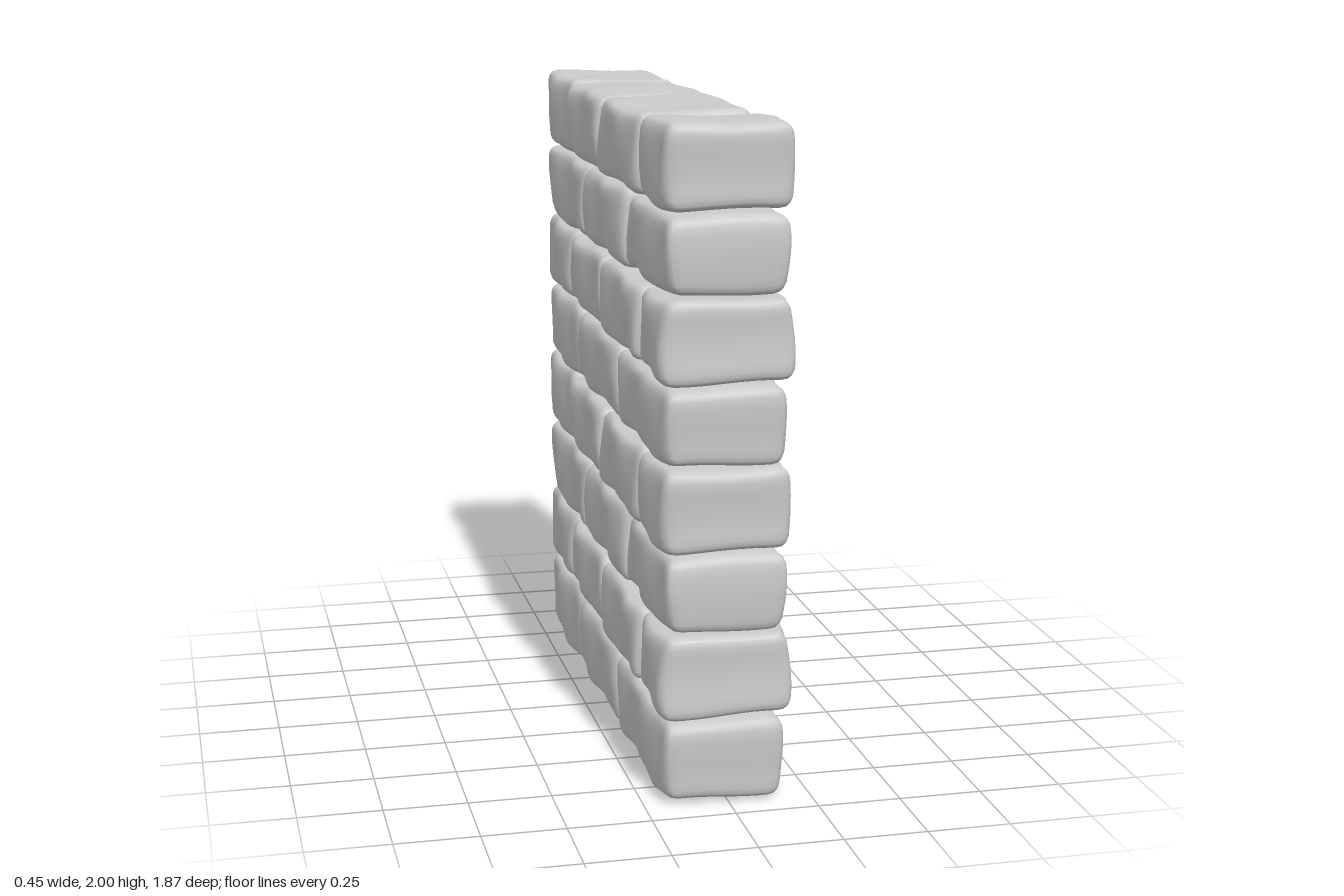
import * as THREE from 'three';
import { mergeVertices } from 'three/addons/utils/BufferGeometryUtils.js';

// Courses from bottom to top: [yMin, yMax, bricks], each brick [zMax, zMin, xMin, xMax]
const COURSES = [
  [0.005, 0.262, [[0.93, 0.25, -0.2, 0.17], [0.24, -0.38, -0.2, 0.175], [-0.385, -0.91, -0.2, 0.18]]],
  [0.265, 0.512, [[0.925, 0.592, -0.205, 0.188], [0.585, 0.05, -0.21, 0.17], [0.04, -0.497, -0.205, 0.17], [-0.502, -0.925, -0.2, 0.175]]],
  [0.512, 0.76, [[0.92, 0.34, -0.19, 0.175], [0.335, -0.25, -0.2, 0.195], [-0.255, -0.91, -0.2, 0.185]]],
  [0.762, 1.01, [[0.925, 0.592, -0.205, 0.188], [0.585, 0.035, -0.21, 0.17], [0.028, -0.5, -0.205, 0.17], [-0.505, -0.925, -0.2, 0.175]]],
  [1.012, 1.255, [[0.93, 0.27, -0.2, 0.17], [0.26, -0.377, -0.2, 0.175], [-0.387, -0.91, -0.2, 0.18]]],
  [1.258, 1.5, [[0.925, 0.592, -0.205, 0.188], [0.585, 0.05, -0.21, 0.17], [0.043, -0.49, -0.205, 0.17], [-0.497, -0.925, -0.2, 0.175]]],
  [1.503, 1.747, [[0.92, 0.338, -0.19, 0.175], [0.333, -0.243, -0.2, 0.21], [-0.252, -0.915, -0.2, 0.19]]],
  [1.752, 2.0, [[0.925, 0.592, -0.2, 0.188], [0.583, 0.035, -0.212, 0.165], [0.03, -0.492, -0.207, 0.17], [-0.497, -0.915, -0.2, 0.175]]],
];

// Gathers grid lines towards the brick's edges so the rounding is smooth
const gather = (t) => 0.35 * t + 0.65 * Math.sin(t * Math.PI / 2);

// Worn brick: a rounded block whose faces undulate gently
function brickGeometry(w, h, d, seed) {
  let g = new THREE.BoxGeometry(2, 2, 2, 12, 10, 18);
  g.deleteAttribute('uv');
  g.deleteAttribute('normal');
  g = mergeVertices(g);
  const half = new THREE.Vector3(w / 2, h / 2, d / 2);
  const radius = 0.034;
  const inner = half.clone().subScalar(radius);
  const p = new THREE.Vector3(), core = new THREE.Vector3();
  const pos = g.attributes.position;
  for (let i = 0; i < pos.count; i++) {
    p.fromBufferAttribute(pos, i);
    p.set(gather(p.x), gather(p.y), gather(p.z));
    const u = p.clone();
    p.multiply(half);
    core.copy(p).clamp(inner.clone().negate(), inner);
    p.sub(core).setLength(radius).add(core);
    // Wavy long faces, dipping slightly towards the ends
    const wave = Math.sin(p.z * 15 + seed * 2.1 + p.y * 9) + 0.6 * Math.sin(p.z * 27 - p.y * 17 + seed);
    p.x += u.x * (0.006 * wave - 0.008 * u.y * u.y - 0.006 * u.z * u.z + 0.005);
    // Uneven beds and ends
    p.y += u.y * 0.004 * (Math.sin(p.z * 13 + seed * 1.7) + Math.sin(p.x * 14 + seed) - 1);
    p.z += u.z * 0.005 * (Math.sin(p.y * 20 + seed * 1.3) + Math.sin(p.x * 12 - seed) - 0.8);
    pos.setXYZ(i, p.x, p.y, p.z);
  }
  g.computeVertexNormals();
  return g;
}

export function createModel() {
  const wall = new THREE.Group();
  wall.name = 'brickWall';
  const material = new THREE.MeshStandardMaterial({ color: 0xcccccc });

  COURSES.forEach(([y0, y1, bricks], row) => {
    const course = new THREE.Group();
    course.name = `course${row + 1}`;
    bricks.forEach(([z1, z0, x0, x1], i) => {
      const geometry = brickGeometry(x1 - x0, y1 - y0, z1 - z0, (row % 2) * 3 + (row % 4) * 0.4 + i * 1.9);
      const brick = new THREE.Mesh(geometry, material);
      brick.name = `brick${i + 1}`;
      brick.position.set((x0 + x1) / 2, (y0 + y1) / 2, (z0 + z1) / 2);
      course.add(brick);
    });
    wall.add(course);
  });
  return wall;
}
